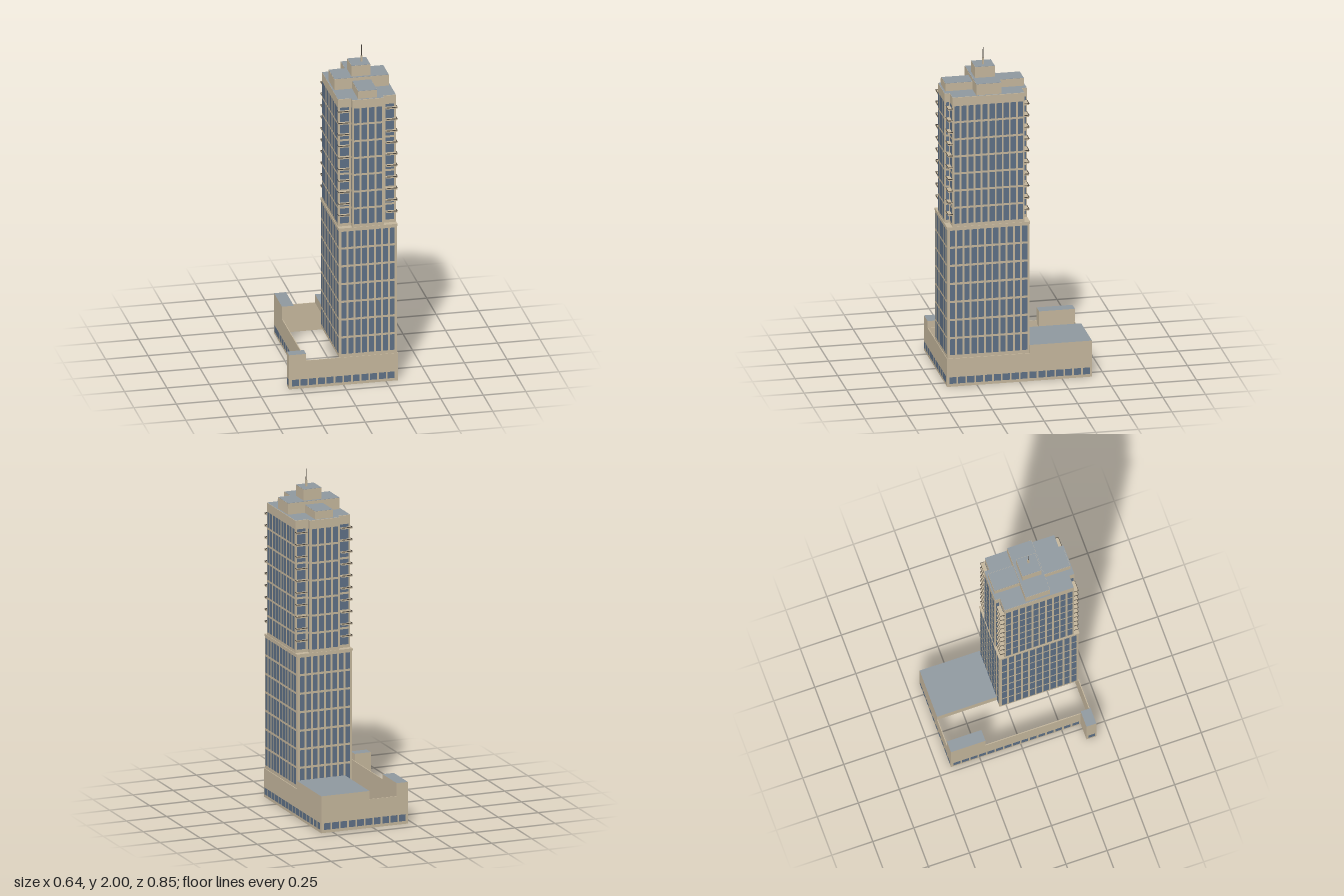
import * as THREE from 'three';
import { mergeGeometries } from 'three/addons/utils/BufferGeometryUtils.js';

const mat = (name, color) => new THREE.MeshStandardMaterial({ name, color });

export function createModel() {
  const root = new THREE.Group();
  const stone = mat('stone', 0xc3b59b);
  const roofing = mat('roofing', 0x8f989f);
  const glass = mat('glass', 0x5d6f85);
  const metal = mat('darkMetal', 0x4a443c);

  const add = (name, geometry, material) => {
    const mesh = new THREE.Mesh(geometry, material);
    mesh.name = name;
    root.add(mesh);
    return mesh;
  };
  const boxGeo = (x0, x1, y0, y1, z0, z1) =>
    new THREE.BoxGeometry(x1 - x0, y1 - y0, z1 - z0)
      .translate((x0 + x1) / 2, (y0 + y1) / 2, (z0 + z1) / 2);
  // Box whose top face may carry a different material
  const block = (name, dims, side, top = side) =>
    add(name, boxGeo(...dims), [side, side, top, side, side, side]);

  // Grid of flat panes on a wall; a0..a1 runs along the wall, at = wall position
  const turn = { front: 0, right: Math.PI / 2, back: Math.PI, left: -Math.PI / 2 };
  const panes = (face, at, a0, a1, cols, y0, y1, rows, fillX, fillY) => {
    const out = [], w = (a1 - a0) / cols, h = (y1 - y0) / rows;
    const off = at + (face === 'front' || face === 'right' ? 0.002 : -0.002);
    for (let i = 0; i < cols; i++) for (let j = 0; j < rows; j++) {
      const g = new THREE.PlaneGeometry(w * fillX, h * fillY).rotateY(turn[face]);
      const a = a0 + (i + 0.5) * w, y = y0 + (j + 0.5) * h;
      out.push(face === 'front' || face === 'back' ? g.translate(a, y, off) : g.translate(off, y, a));
    }
    return out;
  };

  // Tower extents, notch depths and levels
  const X0 = -0.025, X1 = 0.315, Z0 = -0.06, Z1 = 0.422, NX = 0.077, NZ = 0.03;
  const BASE = 0.17, MID = 0.97, TOP = 1.76;

  // Podium: perimeter walls round an open court
  block('frontWall', [-0.32, 0.32, 0, BASE, 0.42, 0.425], stone);
  block('rightWall', [0.315, 0.32, 0, BASE, -0.425, 0.42], stone);
  block('backWall', [-0.22, 0.315, 0, BASE, -0.425, -0.42], stone);
  block('leftWall', [-0.22, -0.215, 0, BASE, -0.42, 0.42], stone);
  block('podiumRoof', [0.02, 0.32, BASE, 0.22, -0.425, Z0], stone, roofing);
  block('frontCornerBlock', [-0.32, -0.22, 0, 0.212, 0.365, 0.425], stone, roofing);
  block('backCornerBlock', [-0.22, -0.15, BASE - 0.02, 0.248, -0.425, -0.215], stone, roofing);
  add('podiumWindows', mergeGeometries([
    ...panes('front', 0.425, -0.31, 0.305, 12, 0.018, 0.058, 1, 0.8, 1),
    ...panes('right', 0.32, -0.418, 0.418, 16, 0.018, 0.058, 1, 0.8, 1),
    ...panes('back', -0.425, -0.21, 0.31, 10, 0.018, 0.058, 1, 0.8, 1),
    ...panes('left', -0.22, -0.415, 0.36, 15, 0.018, 0.058, 1, 0.8, 1),
    ...panes('left', -0.32, 0.37, 0.42, 1, 0.018, 0.058, 1, 0.8, 1),
  ]), glass);

  // Lower tower and its belt course
  block('lowerTower', [X0, X1, BASE, MID, Z0, Z1], stone);
  block('beltCourse', [X0 - 0.003, X1 + 0.003, MID - 0.012, MID + 0.002, Z0 - 0.003, Z1 + 0.003], stone);

  // Upper tower with notched corners
  const plan = new THREE.Shape([
    [X0 + NX, Z0], [X1 - NX, Z0], [X1 - NX, Z0 + NZ], [X1, Z0 + NZ],
    [X1, Z1 - NZ], [X1 - NX, Z1 - NZ], [X1 - NX, Z1], [X0 + NX, Z1],
    [X0 + NX, Z1 - NZ], [X0, Z1 - NZ], [X0, Z0 + NZ], [X0 + NX, Z0 + NZ],
  ].map(([x, z]) => new THREE.Vector2(x, -z)));
  const upper = new THREE.ExtrudeGeometry(plan, { depth: TOP - MID, bevelEnabled: false }).rotateX(-Math.PI / 2);
  add('upperTower', upper.translate(0, MID, 0), stone);
  add('towerRoof', new THREE.ShapeGeometry(plan).rotateX(-Math.PI / 2).translate(0, TOP + 0.002, 0), roofing);

  // Tower windows
  const tower = [];
  for (const [face, at] of [['front', Z1], ['back', Z0]]) {
    const recess = face === 'front' ? Z1 - NZ : Z0 + NZ;
    tower.push(
      ...panes(face, at, X0 + 0.008, X1 - 0.008, 8, 0.185, 0.957, 7, 0.72, 0.88),
      ...panes(face, at, X0 + NX + 0.005, X1 - NX - 0.005, 4, 0.985, 1.715, 7, 0.72, 0.88),
      ...panes(face, recess, X0 + 0.008, X0 + NX - 0.012, 1, 0.985, 1.715, 7, 0.92, 0.88),
      ...panes(face, recess, X1 - NX + 0.012, X1 - 0.008, 1, 0.985, 1.715, 7, 0.92, 0.88));
  }
  for (const [face, at] of [['right', X1], ['left', X0]]) {
    const recess = face === 'right' ? X1 - NX : X0 + NX;
    tower.push(
      ...panes(face, at, Z0 + 0.008, Z1 - 0.008, 11, 0.185, 0.957, 7, 0.74, 0.88),
      ...panes(face, at, Z0 + NZ + 0.004, Z1 - NZ - 0.004, 10, 0.985, 1.715, 7, 0.74, 0.88),
      ...panes(face, recess, Z0 + 0.006, Z0 + NZ - 0.006, 1, 0.985, 1.715, 7, 1, 0.88),
      ...panes(face, recess, Z1 - NZ + 0.006, Z1 - 0.006, 1, 0.985, 1.715, 7, 1, 0.88));
  }
  add('towerWindows', mergeGeometries(tower), glass);

  // Corner balconies: slab with a thin dark rail
  const slabs = [], rails = [];
  for (const sx of [-1, 1]) for (const sz of [-1, 1]) for (let i = 0; i < 10; i++) {
    const y = 1.045 + i * 0.0715;
    const xo = sx < 0 ? X0 - 0.003 : X1 + 0.003, xi = sx < 0 ? X0 + 0.062 : X1 - 0.062;
    const zo = sz < 0 ? Z0 + 0.003 : Z1 - 0.003, zi = sz < 0 ? Z0 + NZ : Z1 - NZ;
    const xs = [Math.min(xo, xi), Math.max(xo, xi)], zs = [Math.min(zo, zi), Math.max(zo, zi)];
    slabs.push(boxGeo(...xs, y - 0.004, y + 0.003, ...zs));
    rails.push(boxGeo(...xs, y + 0.003, y + 0.007, zo - 0.001, zo + 0.001));
    rails.push(boxGeo(xo - 0.001, xo + 0.001, y + 0.003, y + 0.007, ...zs));
  }
  add('balconySlabs', mergeGeometries(slabs), stone);
  add('balconyRails', mergeGeometries(rails), metal);

  // Stepped penthouse with slim mullions
  const tiers = [
    ['longPenthouse', 0.09, 0.20, 1.81, -0.05, 0.41],
    ['widePenthouse', -0.015, 0.305, 1.83, 0.103, 0.25],
    ['centralPenthouse', 0.09, 0.20, 1.897, 0.12, 0.235],
  ];
  const mullions = [];
  for (const [name, x0, x1, y1, z0, z1] of tiers) {
    block(name, [x0, x1, TOP, y1, z0, z1], roofing);
    const nx = Math.round((x1 - x0) / 0.036), nz = Math.round((z1 - z0) / 0.036);
    for (let i = 0; i <= nx; i++) {
      const x = x0 + (x1 - x0) * i / nx;
      mullions.push(boxGeo(x - 0.001, x + 0.001, TOP, y1, z0 - 0.001, z1 + 0.001));
    }
    for (let i = 0; i <= nz; i++) {
      const z = z0 + (z1 - z0) * i / nz;
      mullions.push(boxGeo(x0 - 0.001, x1 + 0.001, TOP, y1, z - 0.001, z + 0.001));
    }
  }
  // Keep mullions just below the roof surfaces
  mullions.forEach((g) => g.translate(0, -0.0015, 0));
  add('penthouseMullions', mergeGeometries(mullions), stone);

  // Mast
  block('mastBase', [0.155, 0.165, 1.897, 1.935, 0.175, 0.185], stone);
  add('mast', new THREE.CylinderGeometry(0.002, 0.003, 0.065, 6).translate(0.16, 1.9675, 0.18), metal);

  return root;
}
